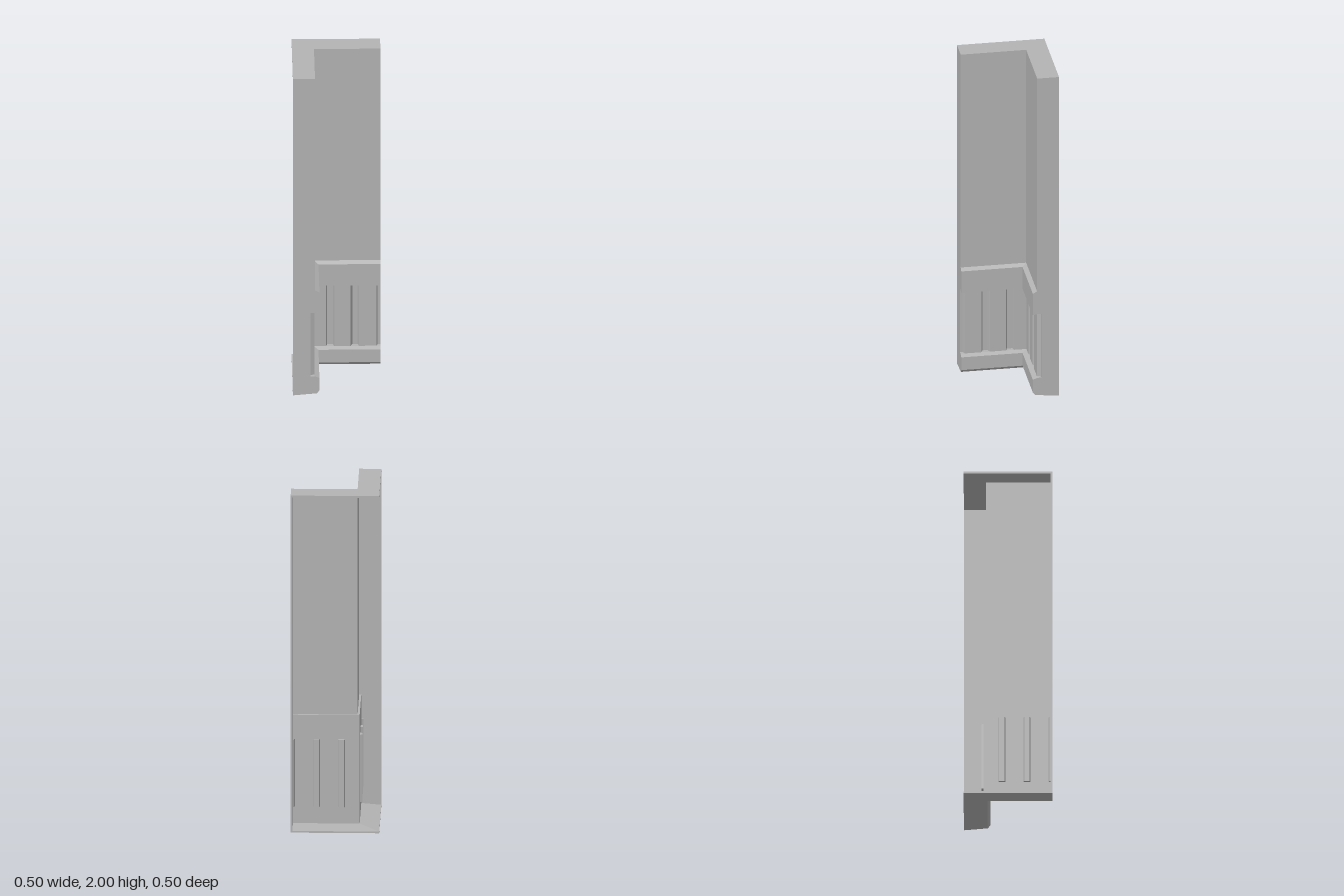
import * as THREE from 'three';

const R = 0.25;                       // half width of the footprint
const LOW = 0.12, HIGH = 0.52;        // fluted recess, bottom and top
const FACE = -0.127, FLOOR = -0.15;   // recess face and flute floor
const BACK = -0.137;                  // rear of the fluted panel
// flutes along the arm: opening start, floor start, floor end, opening end
const FLUTES = [
  [-0.058, -0.05, -0.0185, -0.01],
  [0.082, 0.0925, 0.122, 0.13],
  [0.225, 0.235, R, R],
];

// Flat-shaded geometry from four-cornered faces
function quads(list) {
  const p = [];
  for (const [a, b, c, d] of list) p.push(...a, ...b, ...c, ...a, ...c, ...d);
  const g = new THREE.BufferGeometry();
  g.setAttribute('position', new THREE.Float32BufferAttribute(p, 3));
  g.computeVertexNormals();
  return g;
}

// Sweep a [depth, height] profile along one arm, mitred at the inner corner
function sweep(profile) {
  const list = [];
  for (let i = 0; i < profile.length - 1; i++) {
    const [ad, ay] = profile[i], [bd, by] = profile[i + 1];
    list.push([[ad, ay, ad], [R, ay, ad], [R, by, bd], [bd, by, bd]]);
  }
  return quads(list);
}

const toShape = (pts) => new THREE.Shape(pts.map(([x, y]) => new THREE.Vector2(x, y)));

// Lower band and upper band outlines
const lowerBand = [[-R, 0], [-0.115, 0.012], [-0.1, 0.03], [-0.1, 0.11], [FACE, LOW]];
const upperBand = [[FACE, HIGH], [-0.1, 0.515], [-0.1, 0.65], [-0.125, 0.663]];

function buildArm(mat) {
  const arm = new THREE.Group();
  const add = (name, geo) => {
    const m = new THREE.Mesh(geo, mat);
    m.name = name;
    arm.add(m);
    return m;
  };

  // Plinth with its thin rear rim and inside floor
  add('plinth', sweep([[-0.115, 0.022], [-R, 0.01], ...lowerBand]));
  add('upperBand', sweep([...upperBand, [BACK, 0.663]]));
  // Tall plain wall, top, rim and inside of the top
  add('wallAndTop', sweep([[-0.125, 0.663], [-0.125, 2], [-R, 2], [-R, 1.99], [-0.125, 1.99]]));

  // Fluted recess wall
  const plan = [[FACE, FACE]];
  for (const [a, b, c, d] of FLUTES) {
    plan.push([a, FACE], [b, FLOOR], [c, FLOOR]);
    if (d < R) plan.push([d, FACE]);
  }
  const faces = [];
  for (let i = 0; i < plan.length - 1; i++) {
    const [x0, z0] = plan[i], [x1, z1] = plan[i + 1];
    faces.push([[x0, LOW, z0], [x1, LOW, z1], [x1, HIGH, z1], [x0, HIGH, z0]]);
  }
  // Flute ends
  for (const [a, b, c, d] of FLUTES) {
    const end = (y) => [[a, y, FACE], [d, y, FACE], [c, y, FLOOR], [b, y, FLOOR]];
    faces.push(end(LOW), end(HIGH).reverse());
  }
  add('flutedPanel', quads(faces));

  // Flat rear of the panel, open where the flutes push through
  const rear = toShape([[BACK, 0.012], [R, 0.012], [R, LOW], [0.23, LOW],
    [0.23, HIGH], [R, HIGH], [R, 0.663], [BACK, 0.663]]);
  for (const [a, b, c, d] of FLUTES.slice(0, 2)) {
    const l = (a + b) / 2, r = (c + d) / 2;
    rear.holes.push(toShape([[l, LOW], [l, HIGH], [r, HIGH], [r, LOW]]));
  }
  add('panelRear', new THREE.ShapeGeometry(rear)).position.z = BACK;

  // End plate following the moulding profile
  const outline = toShape([...lowerBand, [FLOOR, LOW], [FLOOR, HIGH], ...upperBand,
    [-0.125, 2], [-R, 2]]);
  const cap = add('endPlate', new THREE.ExtrudeGeometry(outline, { depth: 0.01, bevelEnabled: false }));
  cap.rotation.y = -Math.PI / 2;
  cap.position.x = R;
  return arm;
}

export function createModel() {
  const mat = new THREE.MeshStandardMaterial({ color: 0xb3b3b3, side: THREE.DoubleSide });
  mat.name = 'plain grey';
  const model = new THREE.Group();
  model.name = 'cornerWall';

  const backArm = buildArm(mat);
  backArm.name = 'backArm';

  // Second arm mirrored across the corner diagonal
  const sideArm = buildArm(mat);
  sideArm.name = 'sideArm';
  sideArm.scale.z = -1;
  sideArm.rotation.y = -Math.PI / 2;

  model.add(backArm, sideArm);
  return model;
}
